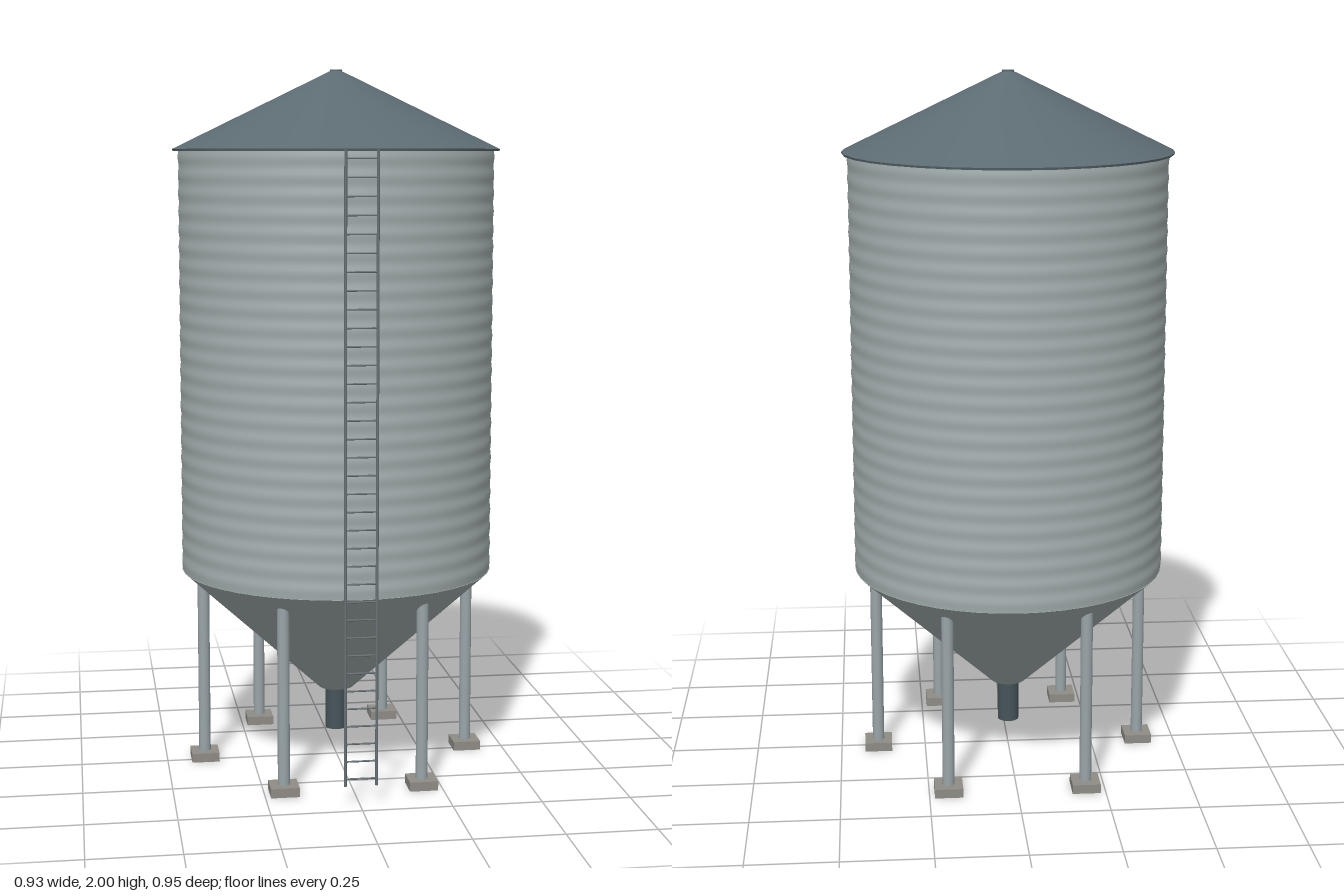
import * as THREE from 'three';

const mat = (color, extra = {}) => {
  const m = new THREE.MeshStandardMaterial({ color });
  return Object.assign(m, extra);
};
const wallMat = mat(0xa3aeae);
const roofMat = mat(0x5c6b72);
const steelMat = mat(0x9aa6aa);
const outletMat = mat(0x47545a);
const padMat = mat(0x8f8c86);
const ladderMat = mat(0x6a7376);

function add(parent, name, geometry, material, x = 0, y = 0, z = 0) {
  const mesh = new THREE.Mesh(geometry, material);
  mesh.name = name;
  mesh.position.set(x, y, z);
  parent.add(mesh);
  return mesh;
}

const lathe = (pts, sides) =>
  new THREE.LatheGeometry(pts.map(([r, y]) => new THREE.Vector2(r, y)), sides);

export function createModel() {
  const model = new THREE.Group();
  model.name = 'hopperSilo';

  // Everything round shares one axis, set back a little to leave room for the ladder
  const silo = new THREE.Group();
  silo.name = 'silo';
  silo.position.z = -0.01;
  model.add(silo);

  // Wall with shallow horizontal corrugations
  const bottom = 0.57, top = 1.78, ridges = 24, steps = ridges * 6;
  const wall = [];
  for (let i = 0; i <= steps; i++) {
    const t = i / steps;
    wall.push([0.449 - 0.0012 * Math.cos(t * ridges * Math.PI * 2), bottom + t * (top - bottom)]);
  }
  add(silo, 'corrugatedWall', lathe(wall, 48), wallMat);

  // Conical roof with a thin eave and a small cap at the peak
  add(silo, 'roof', new THREE.CylinderGeometry(0.017, 0.466, 0.218, 32), roofMat, 0, 1.887, 0);
  add(silo, 'eave', new THREE.CylinderGeometry(0.466, 0.464, 0.006, 32), roofMat, 0, 1.775, 0);
  add(silo, 'roofCap', new THREE.CylinderGeometry(0.017, 0.017, 0.006, 16), roofMat, 0, 1.997, 0);

  // Discharge hopper and outlet pipe
  add(silo, 'hopper', new THREE.CylinderGeometry(0.45, 0.05, 0.365, 48), wallMat, 0, 0.3875, 0);
  add(silo, 'outlet', new THREE.CylinderGeometry(0.031, 0.031, 0.13, 20), outletMat, 0, 0.145, 0);

  // Six legs on square footings
  const legGeo = new THREE.CylinderGeometry(0.017, 0.017, 0.51, 12);
  const padGeo = new THREE.BoxGeometry(0.08, 0.026, 0.08);
  for (let i = 0; i < 6; i++) {
    const a = (i * Math.PI) / 3;
    const x = 0.39 * Math.cos(a), z = 0.39 * Math.sin(a);
    add(silo, 'leg', legGeo, steelMat, x, 0.278, z);
    add(silo, 'footing', padGeo, padMat, x, 0.013, z);
  }

  // Ladder up the front
  const ladder = new THREE.Group();
  ladder.name = 'ladder';
  ladder.position.z = 0.469;
  model.add(ladder);
  const railGeo = new THREE.CylinderGeometry(0.004, 0.004, 1.715, 8);
  for (const s of [-1, 1]) add(ladder, 'ladderRail', railGeo, ladderMat, s * 0.043, 0.9175, 0);
  const rungGeo = new THREE.CylinderGeometry(0.0025, 0.0025, 0.086, 6).rotateZ(Math.PI / 2);
  for (let i = 0; i < 35; i++) add(ladder, 'ladderRung', rungGeo, ladderMat, 0, 0.08 + i * 0.0492, 0);

  return model;
}
